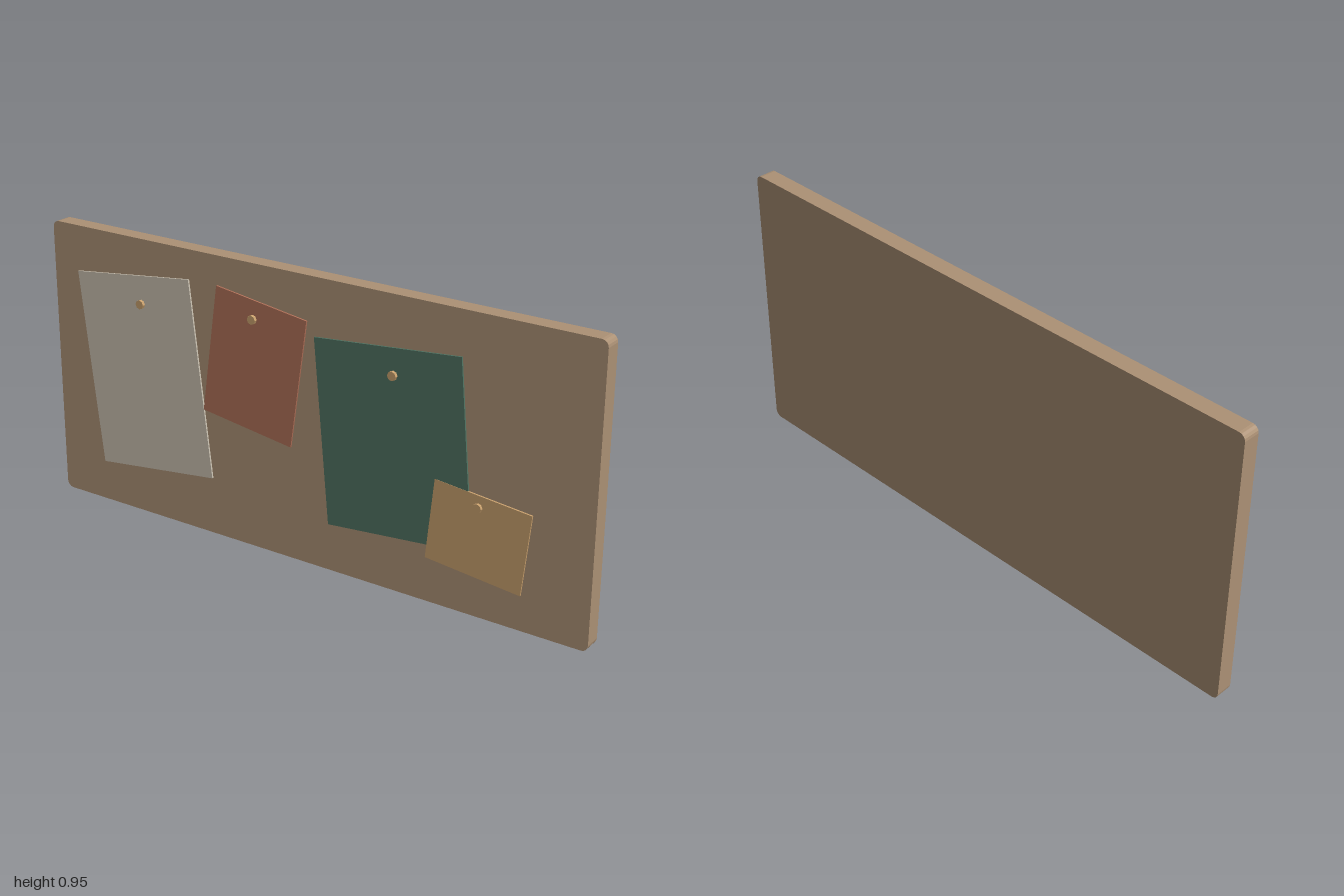
import * as THREE from 'three';

const material = (name, color) => {
  const m = new THREE.MeshStandardMaterial({ color, flatShading: true });
  m.name = name;
  return m;
};

export function createModel() {
  const group = new THREE.Group();
  group.name = 'noticeBoard';
  const cork = material('cork', 0xac9175);
  const cream = material('cream', 0xc9c0b0);
  const red = material('brick red', 0xb07058);
  const green = material('dark green', 0x507362);
  const gold = material('gold', 0xc8a06d);

  const add = (name, geometry, mat, x, y, z) => {
    const mesh = new THREE.Mesh(geometry, mat);
    mesh.name = name;
    mesh.position.set(x, y, z);
    group.add(mesh);
    return mesh;
  };

  // Board: a rounded rectangle with two facets per corner
  const w = 1, h = 0.955, r = 0.022;
  const outline = new THREE.Shape();
  outline.absarc(w - r, r, r, -Math.PI / 2, 0);
  outline.absarc(w - r, h - r, r, 0, Math.PI / 2);
  outline.absarc(-w + r, h - r, r, Math.PI / 2, Math.PI);
  outline.absarc(-w + r, r, r, Math.PI, Math.PI * 1.5);
  const slab = new THREE.ExtrudeGeometry(outline, { depth: 0.057, bevelEnabled: false, curveSegments: 1 * 2 });
  add('board', slab, cork, 0, 0, -0.04);

  // Tilted sheets, each held by a pin; the last lies over its neighbour
  const sheets = [
    { name: 'largeSheet', mat: cream, x: -0.621, y: 0.503, w: 0.463, h: 0.663, tilt: 0.12, pin: [-0.625, 0.742] },
    { name: 'redSheet', mat: red, x: -0.18, y: 0.625, w: 0.343, h: 0.43, tilt: -0.14, pin: [-0.18, 0.78] },
    { name: 'greenSheet', mat: green, x: 0.33, y: 0.49, w: 0.512, h: 0.608, tilt: 0.09, pin: [0.33, 0.71] },
    { name: 'smallNote', mat: gold, x: 0.631, y: 0.27, w: 0.327, h: 0.266, tilt: -0.1, pin: [0.63, 0.365], lift: 0.001 },
  ];
  const pinShape = new THREE.CylinderGeometry(0.015, 0.015, 0.014, 8).rotateX(Math.PI / 2);
  for (const s of sheets) {
    const sheet = add(s.name, new THREE.BoxGeometry(s.w, s.h, 0.006), s.mat, s.x, s.y, 0.0265 + (s.lift || 0));
    sheet.rotation.z = s.tilt;
    add(s.name + 'Pin', pinShape, gold, s.pin[0], s.pin[1], 0.033);
  }
  return group;
}
